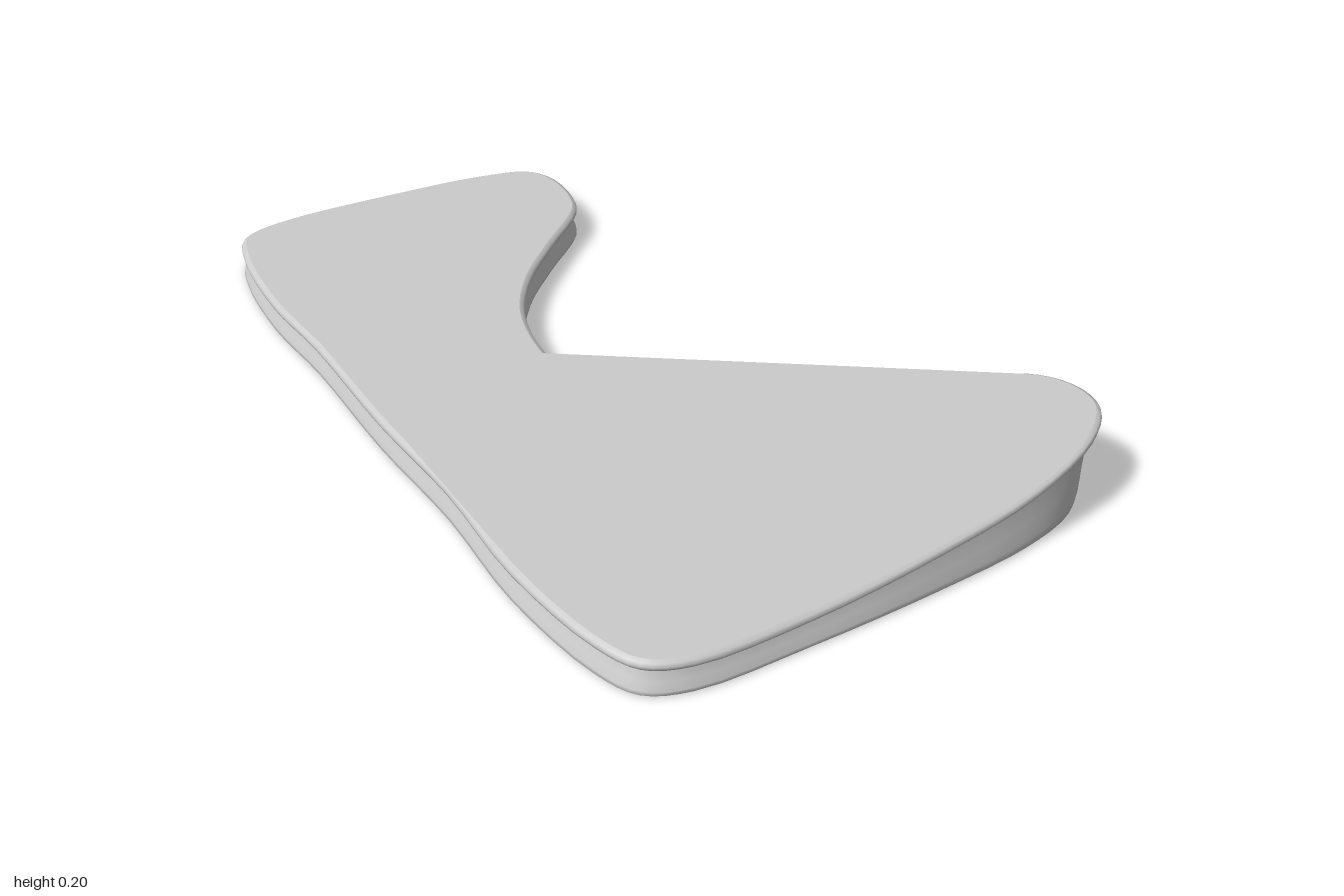
import * as THREE from 'three';

// Outline of the top edge as [x, height, z], starting on the left side and
// running round the back lobe, the notch, the raised front lobe and the front.
const OUTLINE = [
  [-0.6, 0.08, -0.36], [-0.61, 0.08, -0.6], [-0.585, 0.08, -0.85], [-0.545, 0.08, -0.955],
  [-0.44, 0.08, -0.995], [-0.1, 0.08, -0.998], [0.13, 0.08, -0.98], [0.25, 0.08, -0.945],
  [0.288, 0.08, -0.88], [0.285, 0.08, -0.76], [0.25, 0.08, -0.67], [0.1, 0.08, -0.53],
  [-0.03, 0.08, -0.4], [-0.12, 0.08, -0.26], [-0.163, 0.08, -0.1], [-0.167, 0.08, 0.03],
  [-0.13, 0.083, 0.2], [-0.03, 0.095, 0.36], [0.13, 0.112, 0.47], [0.32, 0.133, 0.535],
  [0.46, 0.163, 0.595], [0.56, 0.192, 0.68], [0.605, 0.203, 0.78], [0.595, 0.2, 0.87],
  [0.52, 0.18, 0.93], [0.35, 0.138, 0.97], [0.1, 0.106, 0.99], [-0.2, 0.08, 0.997],
  [-0.45, 0.077, 0.99], [-0.54, 0.079, 0.95], [-0.58, 0.08, 0.86], [-0.61, 0.08, 0.6],
  [-0.597, 0.08, 0.3], [-0.607, 0.08, 0],
];
const N = OUTLINE.length * 4;
const LIP = 0.024;

// Side profile: [inset, fraction of the wall height]
const WALL = [[0.006, 0], [0.001, 0.06], [0.002, 0.2], [0.01, 0.5], [0.017, 0.8], [0.019, 1]];
// Rounded lip: [inset, distance below the top edge]
const RIM = [[0.019, LIP], [0.006, 0.022], [0.001, 0.017], [0, 0.011], [0.003, 0.004], [0.012, 0]];

const curve = new THREE.CatmullRomCurve3(OUTLINE.map((p) => new THREE.Vector3(...p)), true);

// Closed ring; heightOf maps the edge height to y, lean draws the raised tip inward
function ring(inset, heightOf, lean) {
  return Array.from({ length: N }, (_, i) => {
    const p = curve.getPoint(i / N);
    const t = curve.getTangent(i / N).setY(0).normalize();
    const pull = lean * 0.045 * THREE.MathUtils.smoothstep(p.x, 0.25, 0.6);
    return new THREE.Vector3(p.x - t.z * inset - pull, heightOf(p.y), p.z + t.x * inset);
  });
}

function makeMesh(name, points, index) {
  const geometry = new THREE.BufferGeometry().setFromPoints(points);
  geometry.setIndex(index);
  geometry.computeVertexNormals();
  const material = new THREE.MeshStandardMaterial({ color: 0xcccccc, side: THREE.DoubleSide });
  const mesh = new THREE.Mesh(geometry, material);
  mesh.name = name;
  return mesh;
}

// Skin a stack of rings from bottom to top
function loft(name, rings) {
  const index = [];
  for (let r = 0; r < rings.length - 1; r++) {
    for (let i = 0; i < N; i++) {
      const j = (i + 1) % N;
      const a = r * N + i, b = r * N + j;
      index.push(a, a + N, b, b, a + N, b + N);
    }
  }
  return makeMesh(name, rings.flat(), index);
}

export function createModel() {
  const group = new THREE.Group();
  group.name = 'wedgePlatform';

  // Concave side wall, open underneath, and rounded lip
  const wallRings = WALL.map(([inset, f]) => ring(inset, (h) => f * (h - LIP), 1 - f));
  const rimRings = RIM.map(([inset, drop]) => ring(inset, (h) => h - drop, 0));
  group.add(loft('sideWall', wallRings), loft('rim', rimRings));

  // Top sheet fans out from one point on the left edge and bridges the front of the notch
  const fan = [];
  for (let i = 1; i < N - 1; i++) fan.push(0, i + 1, i);
  const topSheet = makeMesh('topSheet', rimRings[rimRings.length - 1], fan);
  // Even shading across the sheet: all normals point straight up
  const normal = topSheet.geometry.attributes.normal;
  for (let i = 0; i < N; i++) normal.setXYZ(i, 0, 1, 0);
  group.add(topSheet);

  return group;
}
